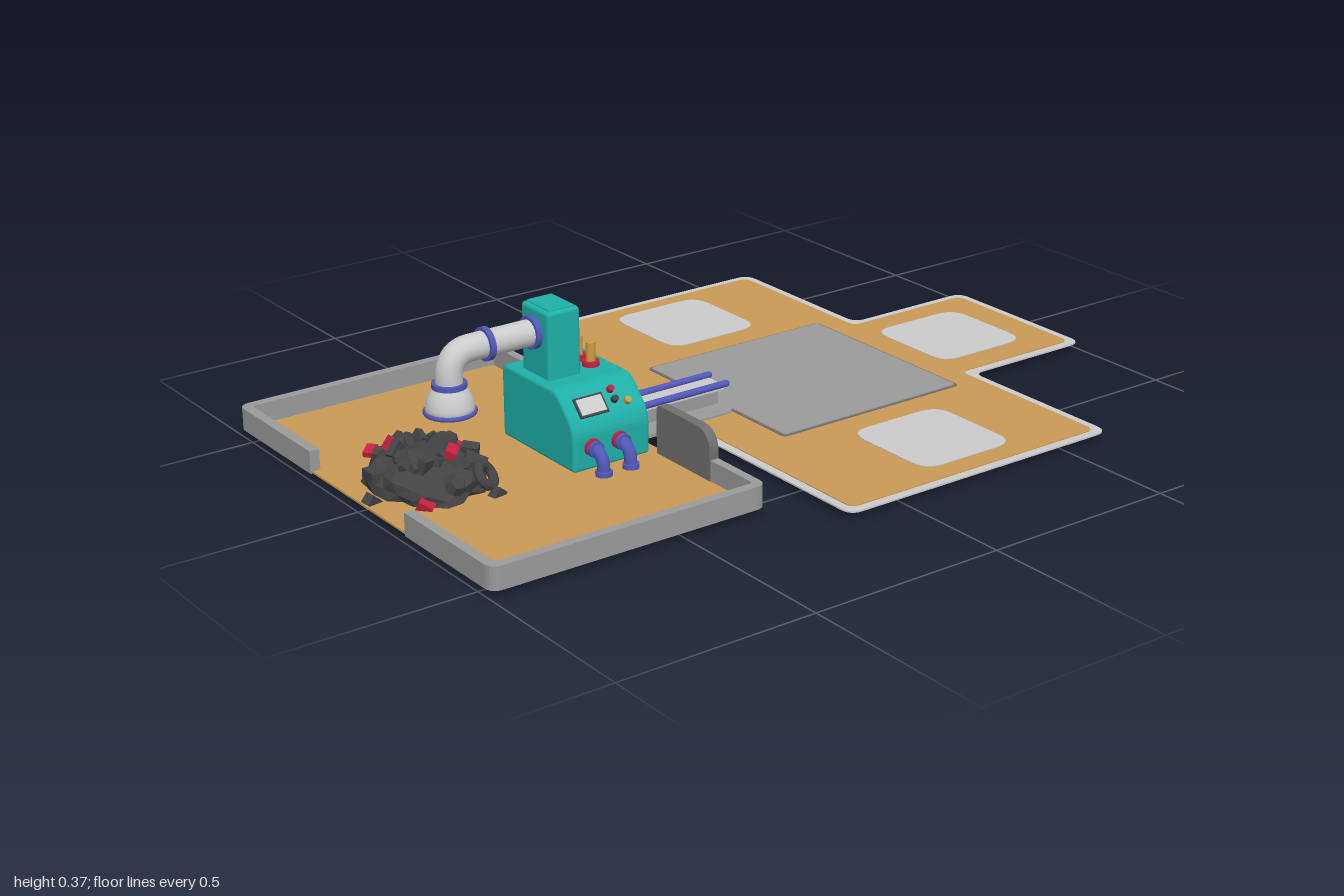
import * as THREE from 'three';
import { RoundedBoxGeometry } from 'three/addons/geometries/RoundedBoxGeometry.js';

const mat = (name, color, side = THREE.FrontSide) => {
  const m = new THREE.MeshStandardMaterial({ color, side });
  m.name = name;
  return m;
};

export function createModel() {
  const model = new THREE.Group();
  const sand = mat('sand', 0xc89a55);
  const pale = mat('pale grey', 0xcbcbcb, THREE.DoubleSide);
  const grey = mat('mid grey', 0x9b9b9b);
  const dark = mat('dark grey', 0x6f6f6f);
  const rock = mat('rock', 0x434345);
  rock.flatShading = true;
  const teal = mat('teal', 0x1fb0a8);
  const red = mat('red', 0xc4203f);
  const blue = mat('blue', 0x5257b8);
  const amber = mat('amber', 0xcf9a45);

  const add = (name, geo, m, x = 0, y = 0, z = 0, parent = model) => {
    const mesh = new THREE.Mesh(geo, m);
    mesh.name = name;
    mesh.position.set(x, y, z);
    parent.add(mesh);
    return mesh;
  };

  // Closed outline with rounded corners; each point is [a, b, radius]
  const outline = (pts, r0 = 0) => {
    const s = new THREE.Shape();
    const n = pts.length;
    pts.forEach(([x, y, r = r0], i) => {
      const p = new THREE.Vector2(x, y);
      const toward = (q) => new THREE.Vector2(q[0], q[1]).sub(p).setLength(r).add(p);
      const a = toward(pts[(i + n - 1) % n]);
      const b = toward(pts[(i + 1) % n]);
      if (i === 0) s.moveTo(a.x, a.y); else s.lineTo(a.x, a.y);
      if (r > 0) s.quadraticCurveTo(x, y, b.x, b.y);
    });
    s.closePath();
    return s;
  };
  const rect = (a0, b0, a1, b1, r) => [[a0, b0, r], [a1, b0, r], [a1, b1, r], [a0, b1, r]];

  // Horizontal slab from [x, z, r] points
  const slab = (name, pts, y0, y1, m, r = 0) => {
    const s = outline(pts.map(([x, z, q]) => [x, -z, q]), r);
    const g = new THREE.ExtrudeGeometry(s, { depth: y1 - y0, bevelEnabled: false, curveSegments: 6 });
    return add(name, g.rotateX(-Math.PI / 2), m, 0, y0);
  };
  // Upright slab from [z, y, r] points, running from x0 to x1
  const upright = (name, pts, x0, x1, m, bevel = 0, hole = null) => {
    const s = outline(pts);
    if (hole) s.holes.push(outline(hole));
    const g = new THREE.ExtrudeGeometry(s, {
      depth: x1 - x0 - 2 * bevel, bevelEnabled: bevel > 0, bevelSize: bevel,
      bevelThickness: bevel, bevelOffset: -bevel, bevelSegments: 3, curveSegments: 6,
    });
    return add(name, g.rotateY(-Math.PI / 2), m, x1 - bevel);
  };
  const rod = (name, r, len, m, x, y, z, axis = 'y', r2 = r) => {
    const g = new THREE.CylinderGeometry(r2, r, len, 24);
    if (axis === 'x') g.rotateZ(Math.PI / 2);
    if (axis === 'z') g.rotateX(Math.PI / 2);
    return add(name, g, m, x, y, z);
  };

  // T-shaped ground with a pale rim
  const tee = (d, r) => [
    [-0.16 + d, -0.7 + d, r], [0.63 - d, -0.7 + d, r], [0.63 - d, -0.235 + d, r], [0.995 - d + 0.005, -0.235 + d, r],
    [1 - d, 0.23 - d, r], [0.63 - d, 0.23 - d, r], [0.63 - d, 0.7 - d, r], [-0.16 + d, 0.7 - d, r]];
  slab('groundRim', tee(0, 0.035), 0.011, 0.015, pale);
  slab('groundSand', tee(0.022, 0.025), 0.015, 0.017, sand);
  slab('centrePadEdge', rect(-0.01, -0.28, 0.54, 0.275, 0.015), 0.016, 0.019, dark);
  slab('centrePad', rect(-0.004, -0.274, 0.534, 0.269, 0.012), 0.019, 0.021, grey);
  [[0.265, -0.495], [0.265, 0.485], [0.755, -0.005]].forEach(([x, z]) =>
    slab('restPad', rect(x - 0.137, z - 0.137, x + 0.137, z + 0.137, 0.055), 0.017, 0.019, pale));

  // Walled yard: floor, two mirrored walls and gate panels
  slab('yardFloor', rect(-0.995, -0.555, -0.285, 0.548, 0.02), 0.011, 0.016, sand);
  for (const s of [1, -1]) {
    const Z = (z) => -0.005 + s * z;
    slab('yardWall', [
      [-1, Z(0.21)], [-1, Z(0.56), 0.03], [-0.28, Z(0.56), 0.03], [-0.28, Z(0.375)],
      [-0.302, Z(0.375)], [-0.302, Z(0.536), 0.012], [-0.975, Z(0.536), 0.012], [-0.975, Z(0.21)]], 0.011, 0.067, grey);
    upright('gatePanel', [
      [Z(0.175), 0.011], [Z(0.38), 0.011], [Z(0.38), 0.137, 0.055], [Z(0.175), 0.137, 0.015]], -0.304, -0.279, dark);
  }

  // Conveyor on a floor strip
  slab('conveyorStrip', [[-0.3, -0.095], [-0.02, -0.095], [0.005, -0.07], [0.005, 0.055], [-0.02, 0.08], [-0.3, 0.08]],
    0.012, 0.0215, grey);
  add('conveyorBody', new THREE.BoxGeometry(0.29, 0.04, 0.054), grey, -0.158, 0.036, -0.007);
  add('conveyorBelt', new THREE.BoxGeometry(0.305, 0.012, 0.064), pale, -0.152, 0.062, -0.007);
  for (const z of [-0.042, 0.028]) {
    rod('conveyorRail', 0.0085, 0.315, blue, -0.153, 0.072, z, 'x');
    add('railEnd', new THREE.SphereGeometry(0.0085, 16, 10), blue, 0.005, 0.072, z);
  }

  // Machine body with sloped console, and its tower
  upright('machineBody', [
    [-0.143, 0.014, 0.01], [0.155, 0.014, 0.01], [0.155, 0.12, 0.03], [0.085, 0.195, 0.025], [-0.143, 0.195, 0.02]],
    -0.525, -0.313, teal, 0.008);
  add('tower', new RoundedBoxGeometry(0.09, 0.18, 0.115, 3, 0.01), teal, -0.456, 0.27, -0.034);
  add('towerCap', new RoundedBoxGeometry(0.07, 0.008, 0.095, 2, 0.003), teal, -0.456, 0.36, -0.034);
  upright('towerScreenFrame', rect(-0.068, 0.285, 0.005, 0.342, 0.008), -0.413, -0.407, rock);
  upright('towerScreen', rect(-0.06, 0.3, -0.003, 0.334, 0.004), -0.408, -0.404, grey);

  // Outlet hatch
  upright('hatchFrame', rect(-0.076, 0.044, 0.062, 0.152, 0.018), -0.316, -0.298, red, 0.003,
    rect(-0.06, 0.06, 0.046, 0.136, 0.01));
  upright('hatchPlate', rect(-0.062, 0.058, 0.048, 0.138, 0.01), -0.314, -0.309, red);

  // Console details lie on the slope
  const consoleGroup = new THREE.Group();
  consoleGroup.name = 'console';
  consoleGroup.position.set(-0.42, 0.1585, 0.12);
  consoleGroup.rotation.x = -Math.atan2(0.07, 0.075);
  model.add(consoleGroup);
  add('displayFrame', new THREE.BoxGeometry(0.078, 0.05, 0.006), rock, -0.035, -0.004, 0.001, consoleGroup);
  add('display', new THREE.BoxGeometry(0.068, 0.04, 0.006), pale, -0.035, -0.004, 0.003, consoleGroup);
  [[0.03, 0.022, red], [0.03, -0.004, rock], [0.06, -0.015, amber]].forEach(([x, y, m]) =>
    add('knob', new THREE.CylinderGeometry(0.008, 0.009, 0.014, 16).rotateX(Math.PI / 2), m, x, y, 0.004, consoleGroup));

  // Signal lamps
  for (const z of [-0.06, -0.007]) {
    rod('lampCollar', 0.021, 0.014, red, -0.365, 0.2, z);
    rod('lamp', 0.0115, 0.055, amber, -0.365, 0.225, z);
  }

  // Feed hoses at the front foot
  for (const x of [-0.475, -0.4]) {
    const path = new THREE.CatmullRomCurve3([[0.07, 0.145], [0.068, 0.175], [0.052, 0.197], [0.015, 0.202]]
      .map(([y, z]) => new THREE.Vector3(x, y, z)));
    add('hose', new THREE.TubeGeometry(path, 16, 0.015, 14), blue);
    rod('hoseCollar', 0.021, 0.012, red, x, 0.07, 0.158, 'z');
    rod('hoseRing', 0.02, 0.01, blue, x, 0.069, 0.172, 'z');
    rod('hoseFoot', 0.02, 0.012, blue, x, 0.021, 0.202);
  }

  // Suction pipe, elbow and bell
  const pz = -0.036;
  const px = -0.732;
  const duct = new THREE.CurvePath();
  const V = (x, y) => new THREE.Vector3(x, y, pz);
  duct.add(new THREE.LineCurve3(V(-0.49, 0.3), V(-0.672, 0.3)));
  duct.add(new THREE.QuadraticBezierCurve3(V(-0.672, 0.3), V(px, 0.3), V(px, 0.24)));
  duct.add(new THREE.LineCurve3(V(px, 0.24), V(px, 0.215)));
  add('duct', new THREE.TubeGeometry(duct, 48, 0.032, 24), pale);
  for (const x of [-0.51, -0.634]) rod('ductRing', 0.04, 0.014, blue, x, 0.3, pz, 'x');
  rod('bellRing', 0.041, 0.012, blue, px, 0.224, pz);
  const bell = [[0.036, 0.222], [0.044, 0.21], [0.052, 0.195], [0.057, 0.175], [0.058, 0.158], [0.05, 0.158], [0.03, 0.21], [0, 0.212]];
  add('bell', new THREE.LatheGeometry(bell.map(([r, y]) => new THREE.Vector2(r, y)), 28), pale, px, 0, pz);
  add('bellRim', new THREE.TorusGeometry(0.057, 0.006, 8, 28).rotateX(Math.PI / 2), blue, px, 0.16, pz);

  // Scrap heap: an uneven dome with rubble on it
  const heap = new THREE.IcosahedronGeometry(1, 3);
  const p = heap.attributes.position;
  for (let i = 0; i < p.count; i++) {
    const [x, y, z] = [p.getX(i), p.getY(i), p.getZ(i)];
    const k = 1 + 0.08 * Math.sin(7 * x + 3 * z) * Math.cos(6 * z - 4 * y) + 0.04 * Math.sin(17 * x + 13 * z);
    p.setXYZ(i, x * k * 0.135, Math.max(y, 0) * k * 0.085, z * k * 0.155);
  }
  heap.computeVertexNormals();
  add('scrapHeap', heap, rock, -0.815, 0.015, -0.015);
  let seed = 7;
  const rnd = () => (seed = (seed * 16807) % 2147483647) / 2147483647;
  for (let i = 0; i < 22; i++) {
    const a = i * 2.4;
    const f = 0.25 + 0.72 * rnd();
    const size = 0.012 + 0.016 * rnd();
    const g = i % 2 ? new THREE.DodecahedronGeometry(size) : new THREE.BoxGeometry(size * 2, size, size * 1.5);
    const b = add('rubble', g, rock, -0.815 + 0.13 * f * Math.cos(a),
      0.018 + 0.085 * Math.sqrt(1 - f * f), -0.015 + 0.15 * f * Math.sin(a));
    b.rotation.set(rnd() * 3, rnd() * 3, rnd() * 3);
  }
  const wheel = add('scrapWheel', new THREE.TorusGeometry(0.026, 0.012, 8, 18), rock, -0.737, 0.055, 0.118);
  wheel.rotation.set(-0.7, 0.5, 0);

  // Loose scrap pieces
  [[-0.84, 0.022, -0.22, red], [-0.896, 0.022, 0.12, red], [-0.785, 0.1, 0.05, red], [-0.72, 0.07, -0.01, red],
    [-0.86, 0.09, -0.09, red], [-0.975, 0.02, 0.02, rock], [-0.73, 0.016, 0.15, rock]].forEach(([x, y, z, m], i) => {
    const b = add('scrapPiece', new THREE.BoxGeometry(0.036, 0.024, 0.026), m, x, y, z);
    b.rotation.set(0.3 * i, 0.7 + 1.6 * i, 0.25);
  });

  return model;
}
